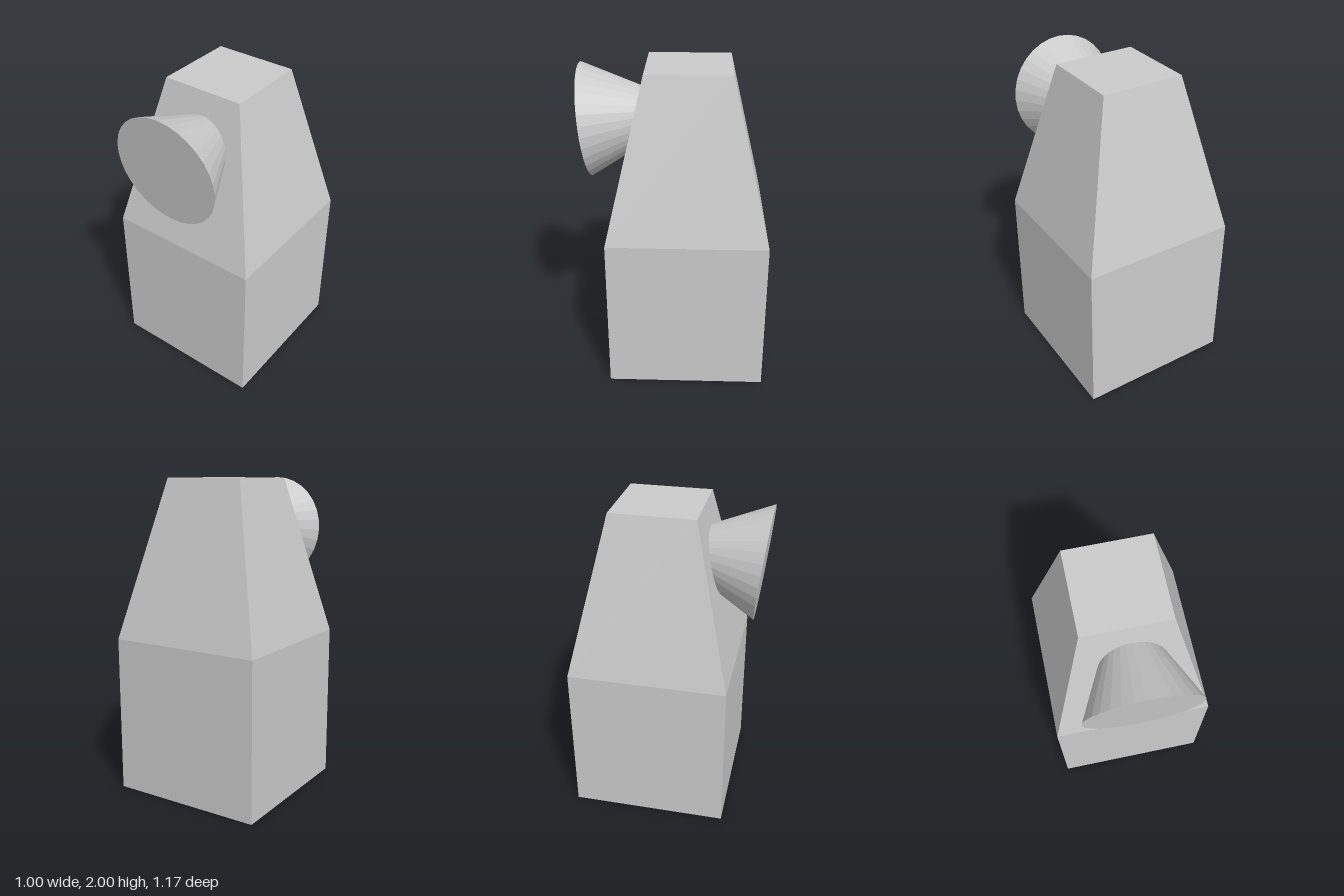
import * as THREE from 'three';

export function createModel() {
  const model = new THREE.Group();
  const material = new THREE.MeshStandardMaterial({ color: 0xcccccc, flatShading: true });

  // Square tower: straight lower half, upper half tapering to a flat top
  const width = 0.995, topScale = 0.526;
  const bodyGeometry = new THREE.BoxGeometry(width, 2, width, 1, 2, 1);
  const p = bodyGeometry.attributes.position;
  for (let i = 0; i < p.count; i++) {
    if (p.getY(i) > 0.5) {
      p.setX(i, p.getX(i) * topScale);
      p.setZ(i, p.getZ(i) * topScale);
    }
  }
  bodyGeometry.computeVertexNormals();
  const body = new THREE.Mesh(bodyGeometry, material);
  body.name = 'body';
  body.position.set(0, 1, -0.084);
  model.add(body);

  // Cone sunk into the front slope, its wide end facing forward and slightly down
  const radius = 0.353, length = 0.705, tilt = 0.107;
  const horn = new THREE.Mesh(new THREE.ConeGeometry(radius, length, 32), material);
  horn.name = 'horn';
  horn.rotation.x = tilt - Math.PI / 2;
  horn.position.set(0.02, 1.687, 0.197);
  model.add(horn);

  return model;
}
